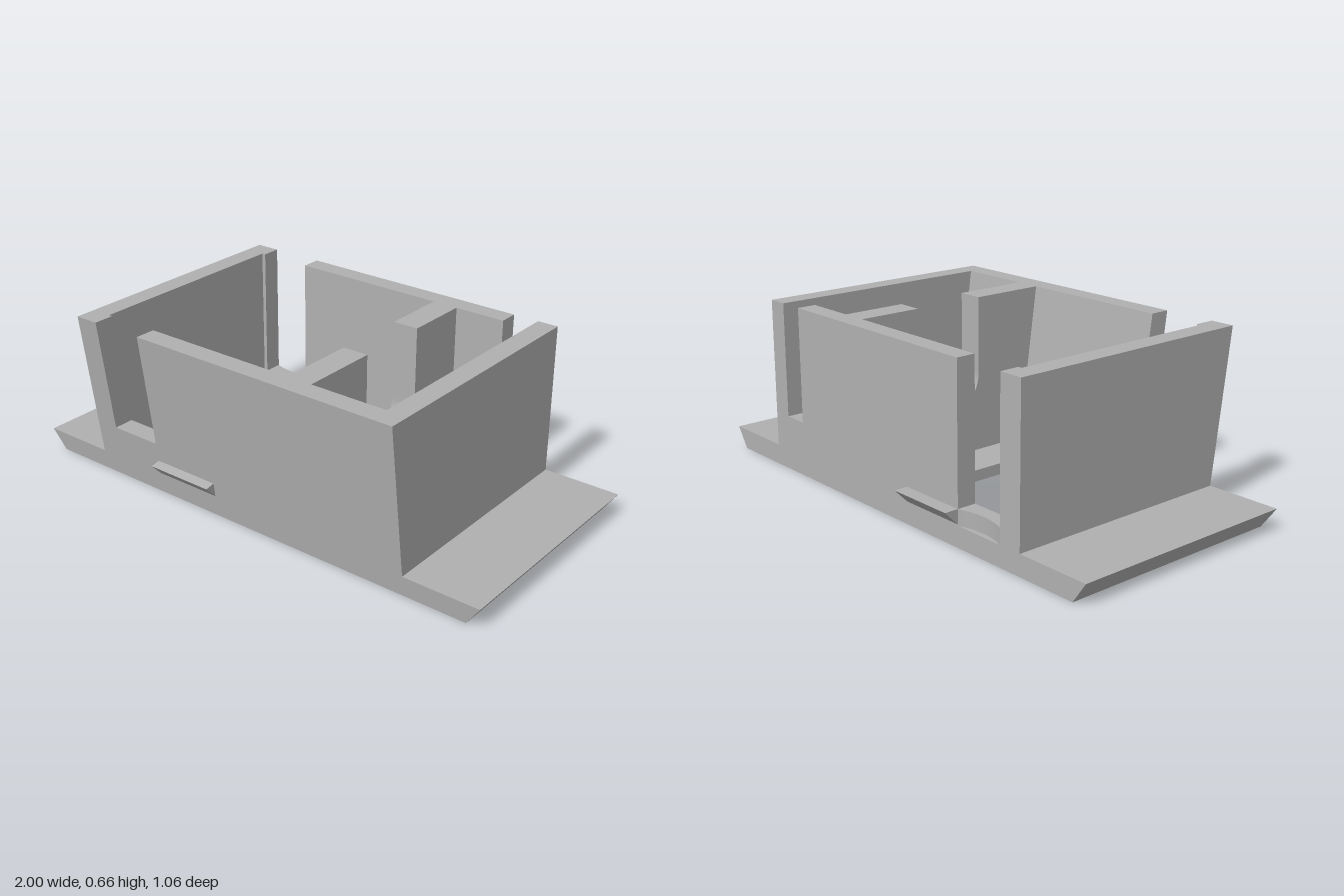
import * as THREE from 'three';

const HEIGHT = 0.66, FLOOR = 0.045, RIM = 0.08, SILL = 0.215;
const BACK = -0.475, BACK_IN = -0.4;
// Outer and inner faces of the leaning front wall
const front = (y) => 0.44 + 0.134 * y;
const frontIn = (y) => 0.36 + 0.134 * y;

export function createModel() {
  const model = new THREE.Group();
  model.name = 'housing';
  const grey = new THREE.MeshStandardMaterial({ color: 0xb0b0b0 });
  grey.name = 'plain grey';

  const add = (name, geometry) => {
    const mesh = new THREE.Mesh(geometry, grey);
    mesh.name = name;
    model.add(mesh);
    return mesh;
  };
  const shapeOf = (pts) => new THREE.Shape(pts.map(([a, b]) => new THREE.Vector2(a, b)));

  // Extrude a (z, y) profile along x from x0 to x1
  const prism = (name, shape, x0, x1) => {
    const g = new THREE.ExtrudeGeometry(shape, { depth: x1 - x0, bevelEnabled: false, curveSegments: 20 });
    g.rotateY(-Math.PI / 2);
    g.scale(1, 1, 1).translate(x1, 0, 0);
    return add(name, g);
  };
  // Extrude an (x, z) plan upward from y0 to y1
  const plate = (name, shape, y0, y1) => {
    const g = new THREE.ExtrudeGeometry(shape, { depth: y1 - y0, bevelEnabled: false, curveSegments: 16 });
    g.rotateX(Math.PI / 2);
    g.translate(0, y1, 0);
    return add(name, g);
  };
  const rect = (a0, b0, a1, b1) => shapeOf([[a0, b0], [a1, b0], [a1, b1], [a0, b1]]);
  const frontPanel = (y) => shapeOf([[frontIn(0), 0], [front(0), 0], [front(y), y], [frontIn(y), y]]);
  const backPanel = (y) => rect(BACK, 0, BACK_IN, y);
  const sidePanel = (y) => shapeOf([[BACK_IN, 0], [frontIn(0), 0], [frontIn(y), y], [BACK_IN, y]]);

  // Floor with its rectangular opening
  const floor = rect(-0.625, BACK_IN, 0.62, frontIn(0));
  floor.holes.push(new THREE.Path([[-0.36, -0.305], [-0.36, 0.305], [0.04, 0.305], [0.04, -0.305]]
    .map(([x, z]) => new THREE.Vector2(x, z))));
  plate('floor', floor, 0, FLOOR);

  // Mounting flanges, undercut at their outer ends
  const flange = shapeOf([[BACK, 0], [front(0), 0], [front(RIM), RIM], [BACK, RIM]]);
  for (const side of [-1, 1]) {
    const mesh = side < 0 ? prism('rightFlange', flange, -1, -0.705) : prism('leftFlange', flange, 0.7, 1);
    const p = mesh.geometry.attributes.position;
    for (let i = 0; i < p.count; i++) {
      if (Math.abs(p.getX(i)) > 0.9 && p.getY(i) < 0.01) p.setX(i, side * 0.945);
    }
    mesh.geometry.computeVertexNormals();
  }

  // Side walls
  prism('rightWall', sidePanel(HEIGHT), -0.705, -0.625);
  prism('leftWall', sidePanel(HEIGHT), 0.62, 0.7);

  // Front wall with one wide slot
  prism('frontCorner', frontPanel(HEIGHT), -0.705, -0.61);
  prism('frontSill', frontPanel(SILL), -0.61, -0.4);
  prism('frontWall', frontPanel(HEIGHT), -0.4, 0.7);

  // Back wall with a wide slot and a narrow slot
  prism('backRightCorner', backPanel(HEIGHT), -0.705, -0.61);
  prism('backSillBase', backPanel(RIM), -0.61, -0.4);
  prism('backWall', backPanel(HEIGHT), -0.4, 0.52);
  prism('narrowSill', backPanel(SILL), 0.52, 0.62);
  prism('backLeftCorner', backPanel(HEIGHT), 0.62, 0.7);

  // Hollowed sill under the wide back slot
  const scoop = new THREE.Shape();
  scoop.moveTo(-0.61, BACK_IN);
  scoop.lineTo(-0.61, BACK);
  scoop.quadraticCurveTo(-0.505, BACK + 0.04, -0.4, BACK);
  scoop.lineTo(-0.4, BACK_IN);
  plate('backSill', scoop, RIM, 0.14);

  // Divider with a round-bottomed notch
  const r = 0.147, cy = 0.36;
  const divider = new THREE.Shape();
  divider.moveTo(BACK_IN, FLOOR);
  divider.lineTo(frontIn(FLOOR), FLOOR);
  divider.lineTo(frontIn(HEIGHT), HEIGHT);
  divider.lineTo(r, HEIGHT);
  divider.lineTo(r, cy);
  divider.absarc(0, cy, r, 0, -Math.PI, true);
  divider.lineTo(-r, HEIGHT);
  divider.lineTo(BACK_IN, HEIGHT);
  prism('divider', divider, 0.22, 0.32);

  // Wedge-shaped snap catches
  prism('frontCatch', shapeOf([[front(0.085), 0.085], [0.497, 0.133], [front(0.14), 0.14]]), -0.4, -0.125);
  prism('backCatch', shapeOf([[BACK, 0.085], [BACK, 0.14], [-0.53, 0.14]]), -0.4, -0.125);

  return model;
}
